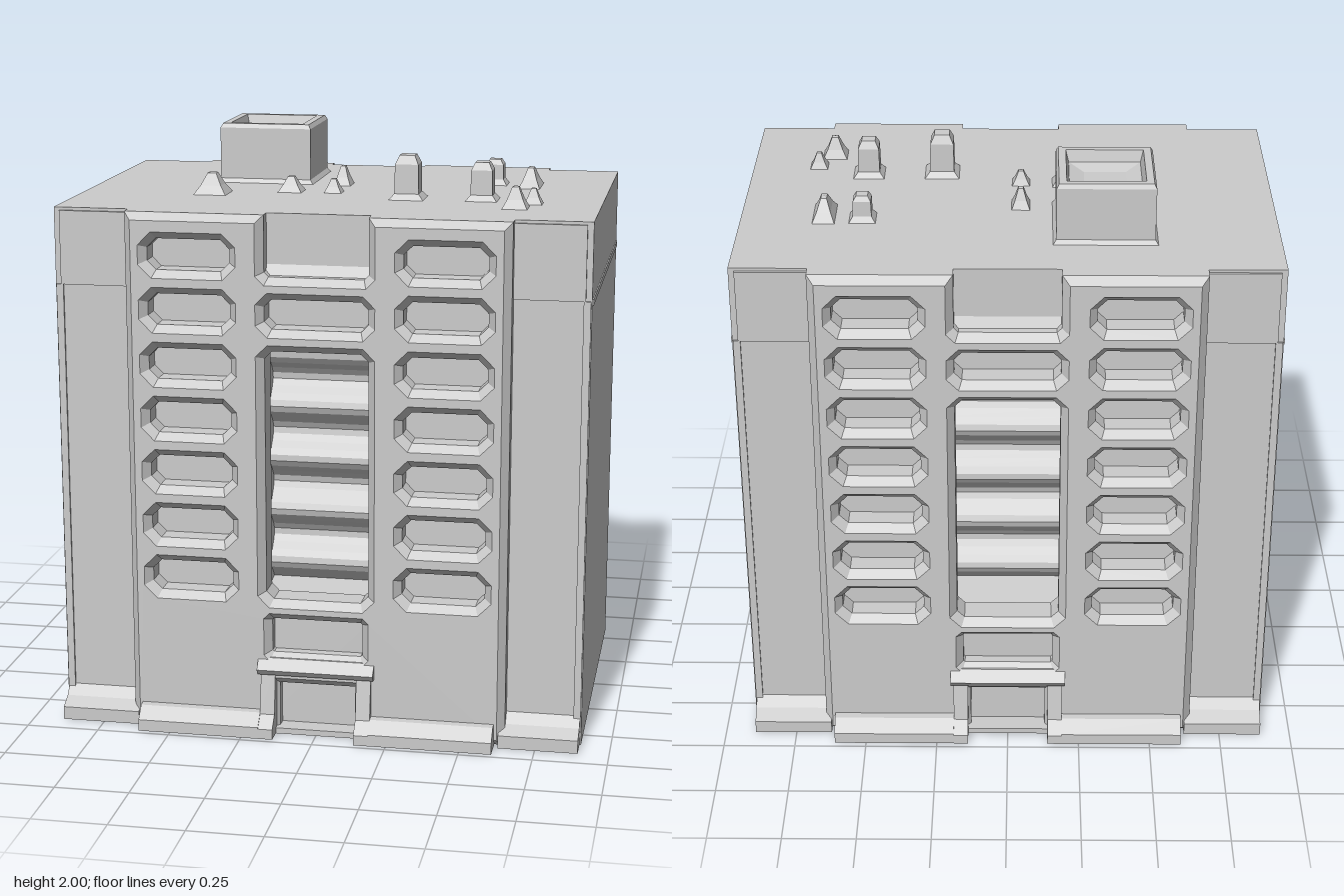
import * as THREE from 'three';

const mat = new THREE.MeshStandardMaterial({ color: 0xcccccc, flatShading: true });
const H = 1.79; // roof height

function add(parent, name, geo, x = 0, y = 0, z = 0) {
  const m = new THREE.Mesh(geo, mat);
  m.name = name;
  m.position.set(x, y, z);
  parent.add(m);
  return m;
}

// box given by its limits
function block(parent, name, x0, x1, y0, y1, z0, z1) {
  return add(parent, name, new THREE.BoxGeometry(x1 - x0, y1 - y0, z1 - z0),
    (x0 + x1) / 2, (y0 + y1) / 2, (z0 + z1) / 2);
}

// [z, y] profile extruded along x, centred on x = 0
function sideProfile(points, width) {
  const shape = new THREE.Shape(points.map(p => new THREE.Vector2(p[0], p[1])));
  const geo = new THREE.ExtrudeGeometry(shape, { depth: width, bevelEnabled: false });
  return geo.rotateY(-Math.PI / 2).translate(width / 2, 0, 0);
}

// rectangle with clipped corners, used for openings
function opening(x, y, w, h, c) {
  const a = w / 2, b = h / 2;
  return new THREE.Path([
    [-a + c, -b], [-a, -b + c], [-a, b - c], [-a + c, b],
    [a - c, b], [a, b - c], [a, -b + c], [a - c, -b],
  ].map(p => new THREE.Vector2(x + p[0], y + p[1])));
}

// square tapering form: profile of [half width, height]
function squareLathe(points) {
  return new THREE.LatheGeometry(
    points.map(p => new THREE.Vector2(p[0] * Math.SQRT2, p[1])), 4).rotateY(Math.PI / 4);
}

// front wall with window, shaft and panel openings and notches for door and top panel
function facadeGeometry() {
  const b = 0.025, top = H - b;
  const shape = new THREE.Shape([
    [-0.62, b], [-0.155, b], [-0.155, 0.2], [0.155, 0.2], [0.155, b], [0.62, b],
    [0.62, top], [0.2, top], [0.2, 1.59], [0.17, 1.56], [-0.17, 1.56], [-0.2, 1.59],
    [-0.2, top], [-0.62, top],
  ].map(p => new THREE.Vector2(p[0], p[1])));
  for (const x of [-0.43, 0.43])
    for (let i = 0; i < 7; i++) shape.holes.push(opening(x, 1.65 - i * 0.185, 0.33, 0.155, 0.045));
  shape.holes.push(opening(0, 1.46, 0.4, 0.15, 0.04));
  shape.holes.push(opening(0, 0.905, 0.4, 0.91, 0.04));
  shape.holes.push(opening(0, 0.345, 0.36, 0.17, 0.02));
  return new THREE.ExtrudeGeometry(shape, {
    depth: 0.09, bevelThickness: 0.03, bevelSize: b, bevelSegments: 1,
  }).translate(0, 0, 0.545);
}

function createFacade() {
  const g = new THREE.Group();
  g.name = 'facade';
  add(g, 'windowWall', facadeGeometry());
  // flared plinth under each window column and corner
  const pier = [[0.5, 0], [0.73, 0], [0.73, 0.035], [0.69, 0.075], [0.665, 0.25], [0.5, 0.25]];
  const foot = [[0.5, 0], [0.73, 0], [0.73, 0.04], [0.69, 0.08], [0.5, 0.1]];
  const cornerFoot = [[0.5, 0], [0.67, 0], [0.67, 0.045], [0.62, 0.07], [0.585, 0.11], [0.5, 0.11]];
  for (const s of [-1, 1]) {
    add(g, 'columnFoot', sideProfile(foot, 0.42), s * 0.4);
    add(g, 'doorJamb', sideProfile(pier, 0.05), s * 0.165);
    add(g, 'cornerFoot', sideProfile(cornerFoot, 0.27), s * 0.76);
    block(g, 'cornerCap', s * 0.76 - 0.12, s * 0.76 + 0.12, 1.53, H - 0.01, 0.5, 0.6);
    block(g, 'cornerRib', s * 0.885 - 0.012, s * 0.885 + 0.012, 0.05, 1.53, 0.5, 0.597);
  }
  add(g, 'doorCanopy', sideProfile(
    [[0.55, 0.215], [0.68, 0.215], [0.695, 0.235], [0.66, 0.27], [0.55, 0.27]], 0.4));
  block(g, 'doorStep', -0.18, 0.18, 0, 0.02, 0.5, 0.67);
  return g;
}

// centre of the building: recessed panels and a rippled stair shaft, same at front and back
function centreCore() {
  const half = [[0.6, 0], [0.6, 0.43], [0.56, 0.44]];
  const n = 40;
  for (let i = 0; i <= n; i++) {
    const y = 0.47 + (0.86 * i) / n;
    half.push([0.39 + 0.03 * Math.cos(((y - 0.54) / 0.185) * Math.PI * 2), y]);
  }
  half.push([0.56, 1.365], [0.56, 1.55], [0.62, 1.56], [0.59, 1.62], [0.59, H]);
  const back = half.map(p => [-p[0], p[1]]).reverse();
  return sideProfile([...half, ...back], 0.42);
}

export function createModel() {
  const model = new THREE.Group();
  model.name = 'apartmentBlock';

  // body
  add(model, 'centreCore', centreCore());
  for (const s of [-1, 1]) {
    block(model, 'windowBacking', s * 0.43 - 0.225, s * 0.43 + 0.225, 0, H, -0.565, 0.565);
    block(model, 'sideWing', s * 0.77 - 0.13, s * 0.77 + 0.13, 0, H, -0.59, 0.59);
    block(model, 'sideBand', s * 0.9 - 0.004, s * 0.9 + 0.004, 1.515, 1.535, -0.58, 0.58);
  }

  // matching front and back
  const front = createFacade();
  const back = front.clone();
  back.rotation.y = Math.PI;
  model.add(front, back);

  // roof hut with sunken top
  add(model, 'roofHut', squareLathe([
    [0.18, -0.01], [0.163, 0.015], [0.163, 0.195], [0.155, 0.21], [0.13, 0.21],
    [0.12, 0.17], [0.07, 0.155], [0, 0.155],
  ]), -0.32, H, -0.235);

  // straight chimneys: x, z, height, half width
  for (const [x, z, h, w] of [[0.235, 0.19, 0.15, 0.04], [0.49, 0.18, 0.13, 0.036], [0.49, -0.2, 0.09, 0.03]])
    add(model, 'chimney', squareLathe([
      [w * 1.6, -0.005], [w * 1.05, 0.02], [w, h * 0.8], [w * 0.65, h], [0, h],
    ]), x, H, z);

  // small pointed vents: x, z, height, half width in x and z
  for (const [x, z, h, w, d] of [
    [-0.45, 0.19, 0.075, 0.06, 0.06], [-0.19, 0.1, 0.055, 0.045, 0.045],
    [-0.04, 0.1, 0.05, 0.033, 0.033], [-0.04, -0.09, 0.07, 0.033, 0.045],
    [0.62, -0.17, 0.07, 0.04, 0.085], [0.67, 0.24, 0.055, 0.033, 0.033],
    [0.62, 0.34, 0.075, 0.045, 0.045],
  ]) {
    const v = add(model, 'roofVent', squareLathe([
      [1, -0.005], [0.6, h * 0.4], [0.25, h * 0.95], [0, h],
    ]), x, H, z);
    v.scale.set(w, 1, d);
  }
  return model;
}
